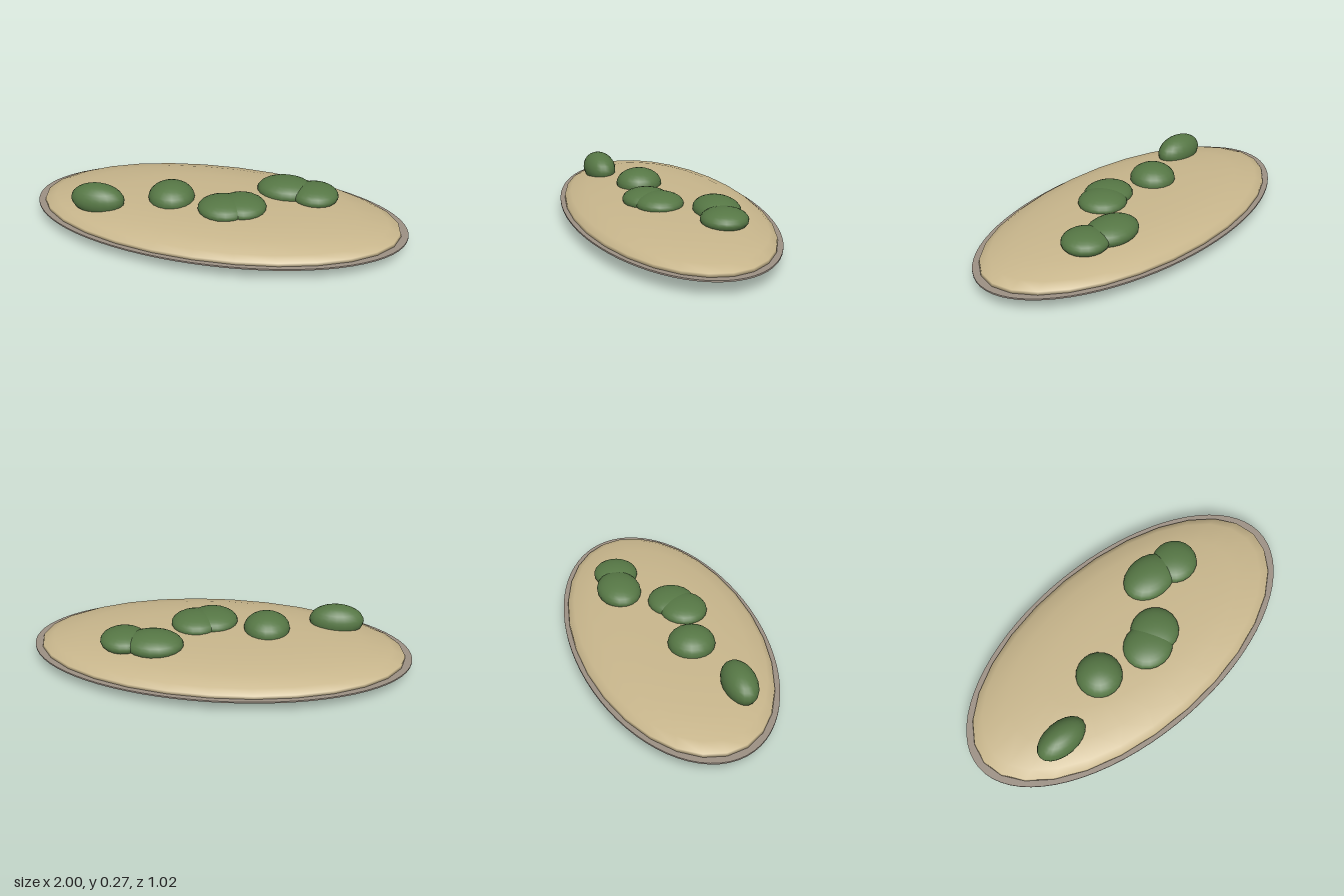
import * as THREE from 'three';

export function createModel() {
  const group = new THREE.Group();
  const mat = (name, color) => {
    const m = new THREE.MeshStandardMaterial({ color });
    m.name = name;
    return m;
  };
  const sand = mat('sand', 0xc8b68c);
  const shore = mat('shore grey', 0x9c9084);
  const leaf = mat('leaf green', 0x567745);

  const add = (name, geometry, material, x, y, z, sx, sy, sz) => {
    const mesh = new THREE.Mesh(geometry, material);
    mesh.name = name;
    mesh.position.set(x, y, z);
    mesh.scale.set(sx, sy, sz);
    group.add(mesh);
  };

  // Lens-shaped island: shallow keel below, gently domed top
  const profile = [
    [0, 0], [0.4, 0.014], [0.72, 0.034], [0.91, 0.062], [0.965, 0.082],
    [0.96, 0.1], [0.9, 0.124], [0.74, 0.153], [0.5, 0.17], [0.25, 0.175], [0, 0.176],
  ].map(([r, y]) => new THREE.Vector2(r, y));
  add('island', new THREE.LatheGeometry(profile, 28), sand, 0, 0, 0, 1, 1, 0.505);

  // Thin oval shoreline rim
  add('shoreRim', new THREE.CylinderGeometry(1, 1, 0.008, 72), shore, 0, 0.08, 0, 1, 1, 0.51);

  // Rounded bushes, half sunk in the island: x, z, half width, half depth, top
  const bushGeometry = new THREE.SphereGeometry(1, 20, 14);
  const baseY = 0.182;
  [
    [-0.6, 0.19, 0.145, 0.086, 0.266],
    [-0.235, 0.065, 0.122, 0.122, 0.261],
    [0.06, 0.115, 0.135, 0.125, 0.237],
    [0.145, 0.075, 0.13, 0.126, 0.237],
    [0.33, -0.168, 0.155, 0.118, 0.246],
    [0.49, -0.145, 0.124, 0.12, 0.238],
  ].forEach(([x, z, rx, rz, top], i) =>
    add('bush' + (i + 1), bushGeometry, leaf, x, baseY, z, rx, top - baseY, rz));

  return group;
}
